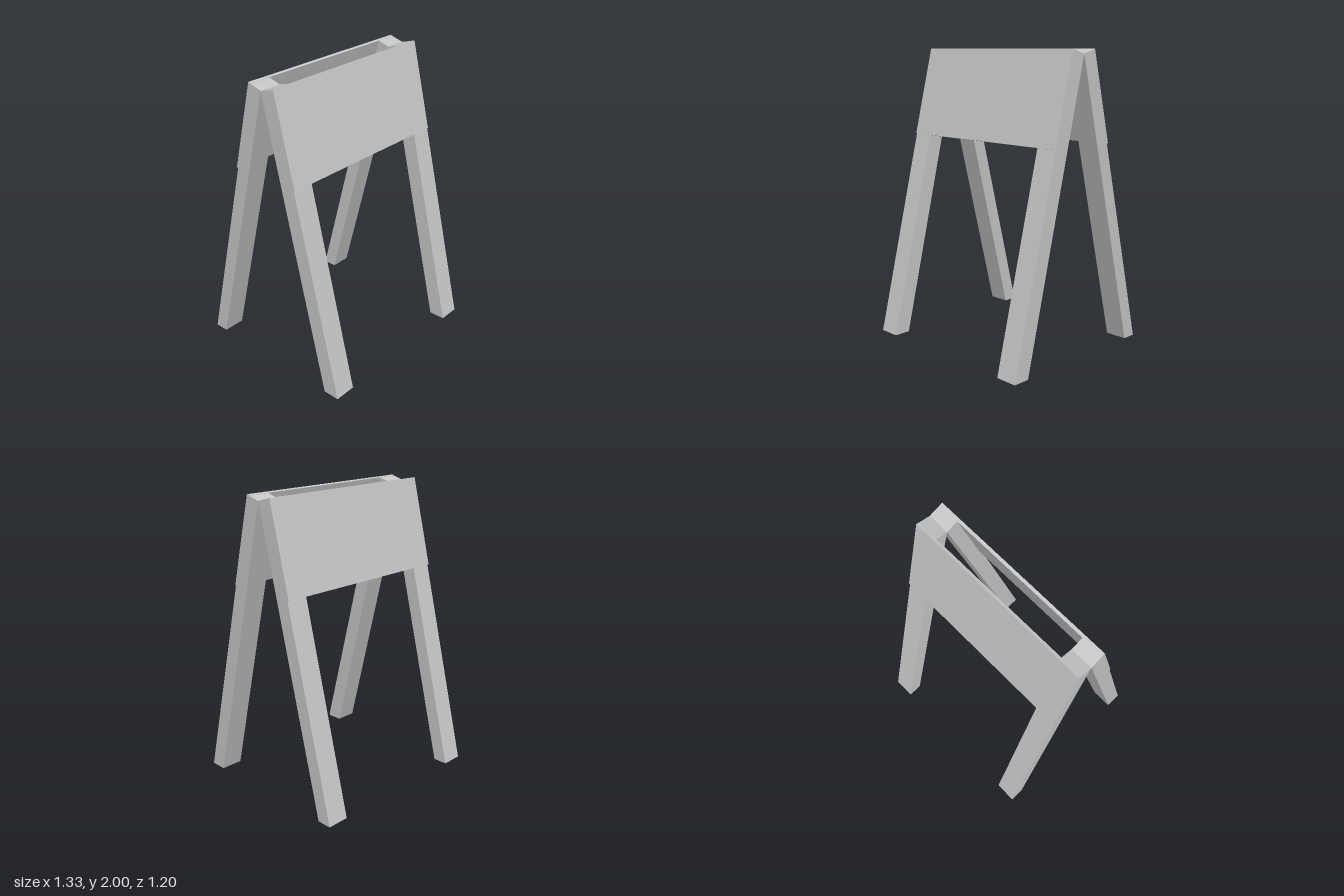
import * as THREE from 'three';

const HALF_WIDTH = 0.667;
const LEG_WIDTH = 0.153;

// Side profiles as [z, y] corners
const frontLegProfile = [[0.6, 0], [0.485, 0], [0, 1.97], [0.1, 1.998]];
const backLegProfile = [[-0.6, 0], [-0.5, 0], [0, 1.97], [-0.094, 1.996]];
const panelProfile = [[0.257, 1.4], [0.237, 1.395], [0.084, 1.995], [0.104, 2]];

// Extrudes a [z, y] profile along x, centred on x = 0
function extrudeAcross(profile, width) {
  const shape = new THREE.Shape(profile.map(([z, y]) => new THREE.Vector2(z, y)));
  const geometry = new THREE.ExtrudeGeometry(shape, { depth: width, bevelEnabled: false });
  geometry.translate(0, 0, -width / 2);
  geometry.rotateY(-Math.PI / 2);
  return geometry;
}

export function createModel() {
  const model = new THREE.Group();
  model.name = 'trestle';
  const grey = new THREE.MeshStandardMaterial({ color: 0xc8c8c8 });
  grey.name = 'light grey';

  function addPart(name, profile, width, x = 0) {
    const mesh = new THREE.Mesh(extrudeAcross(profile, width), grey);
    mesh.name = name;
    mesh.position.x = x;
    model.add(mesh);
  }

  // Four splayed legs meeting along the ridge
  for (const [side, sign] of [['Left', 1], ['Right', -1]]) {
    const x = sign * (HALF_WIDTH - LEG_WIDTH / 2);
    addPart('front' + side + 'Leg', frontLegProfile, LEG_WIDTH, x);
    addPart('back' + side + 'Leg', backLegProfile, LEG_WIDTH, x);
  }

  // Thin boards joining each pair of legs
  addPart('frontPanel', panelProfile, HALF_WIDTH * 2);
  addPart('backPanel', panelProfile.map(([z, y]) => [-z, y]), HALF_WIDTH * 2);

  return model;
}
